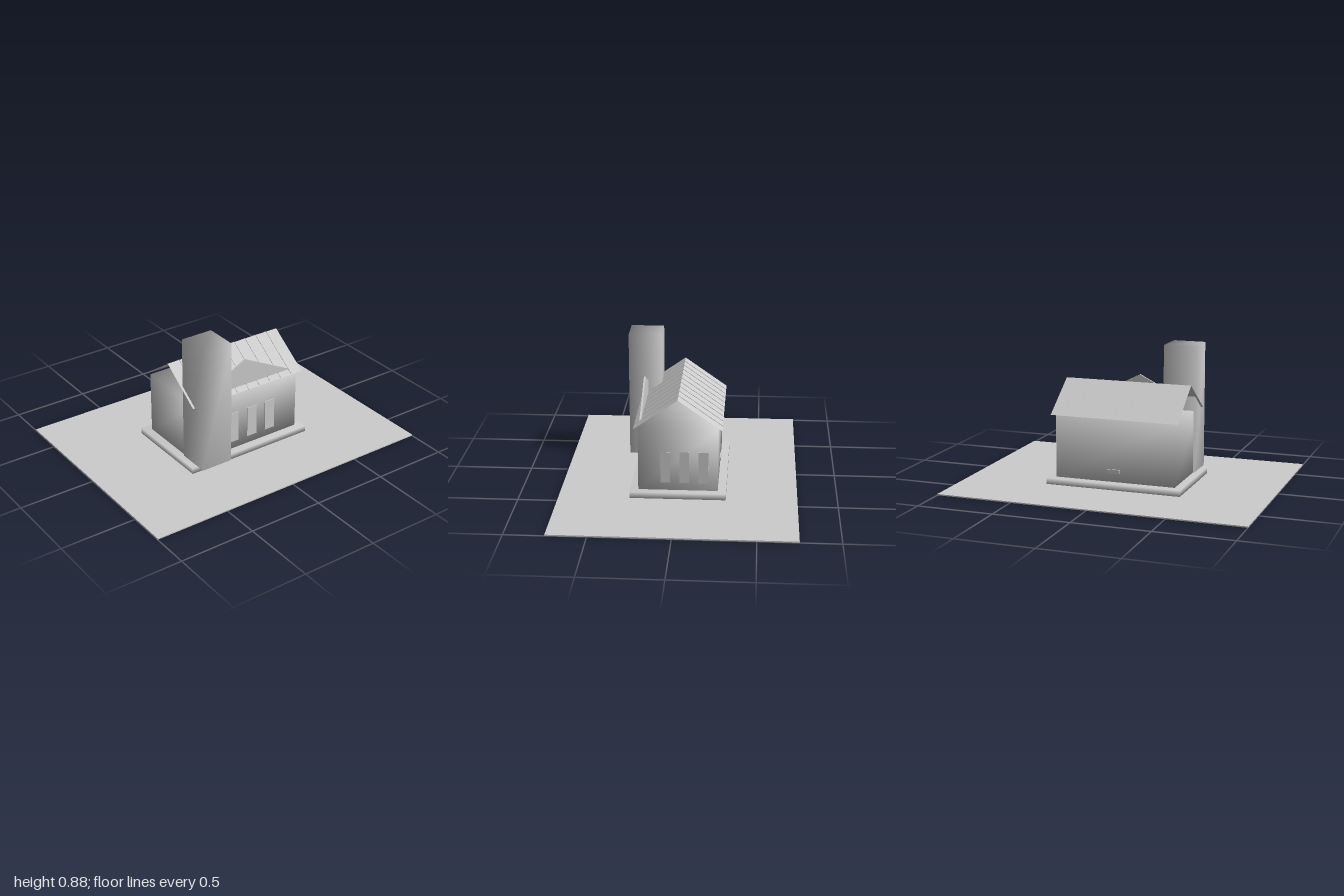
import * as THREE from 'three';
import { mergeVertices } from 'three/addons/utils/BufferGeometryUtils.js';

export function createModel() {
  const model = new THREE.Group();
  model.name = 'building';
  const stone = new THREE.MeshStandardMaterial({ color: 0xcccccc, side: THREE.DoubleSide });
  stone.name = 'pale grey';

  const add = (geometry, name) => {
    const mesh = new THREE.Mesh(geometry, stone);
    mesh.name = name;
    model.add(mesh);
    return mesh;
  };

  // Box given by its limits; smooth boxes share normals across their corners
  const box = (name, [x0, x1], [y0, y1], [z0, z1], smooth = false) => {
    let g = new THREE.BoxGeometry(x1 - x0, y1 - y0, z1 - z0);
    g.translate((x0 + x1) / 2, (y0 + y1) / 2, (z0 + z1) / 2);
    if (smooth) {
      g.deleteAttribute('normal');
      g.deleteAttribute('uv');
      g = mergeVertices(g);
      g.computeVertexNormals();
    }
    return add(g, name);
  };

  // Ground, plinth, hall and tower
  box('ground', [-1, 1], [0, 0.008], [-0.75, 0.75]);
  box('plinth', [-0.45, 0.45], [0.006, 0.048], [-0.302, 0.302], true);
  box('hall', [-0.4, 0.4], [0.048, 0.46], [-0.25, 0.25], true);
  box('tower', [-0.41, -0.195], [0.048, 0.88], [0.143, 0.36], true);

  // Windows on the front and on the left wall
  for (const x of [-0.1, 0.045, 0.187]) {
    box('frontWindow', [x - 0.037, x + 0.037], [0.1, 0.31], [0.249, 0.255]);
  }
  for (const z of [0.08, -0.04, -0.16]) {
    box('sideWindow', [0.399, 0.405], [0.1, 0.305], [z - 0.03, z + 0.03]);
  }

  // Small ledge on the back wall
  box('backLedge', [-0.035, 0.05], [0.105, 0.13], [-0.258, -0.249]);

  // Roof: two thin slopes meeting at the ridge, with low standing seams
  const halfX = 0.425, eaveZ = 0.277, eaveY = 0.46, ridgeY = 0.655;
  const quad = (a, b, c, d, name) => {
    const g = new THREE.BufferGeometry();
    g.setAttribute('position', new THREE.Float32BufferAttribute([...a, ...b, ...c, ...d], 3));
    g.setIndex([0, 1, 2, 0, 2, 3]);
    g.computeVertexNormals();
    return add(g, name);
  };
  const panels = 10, seam = 0.004;
  for (const s of [1, -1]) {
    quad([-s * halfX, eaveY, s * eaveZ], [s * halfX, eaveY, s * eaveZ],
      [s * halfX, ridgeY, 0], [-s * halfX, ridgeY, 0], 'roofSlope');
    for (let i = 1; i < panels; i++) {
      const x = -halfX + (2 * halfX * i) / panels;
      quad([x, eaveY, s * eaveZ], [x, ridgeY, 0],
        [x, ridgeY + seam, 0], [x, eaveY + seam, s * eaveZ], 'roofSeam');
    }
  }

  // Triangular pediment standing on the front edge
  const triangle = new THREE.Shape();
  triangle.moveTo(-0.35, 0.483);
  triangle.lineTo(0.35, 0.483);
  triangle.lineTo(0, 0.66);
  triangle.closePath();
  const pediment = new THREE.ExtrudeGeometry(triangle, { depth: 0.012, bevelEnabled: false });
  pediment.translate(0, 0, 0.232);
  add(pediment, 'pediment');

  return model;
}
